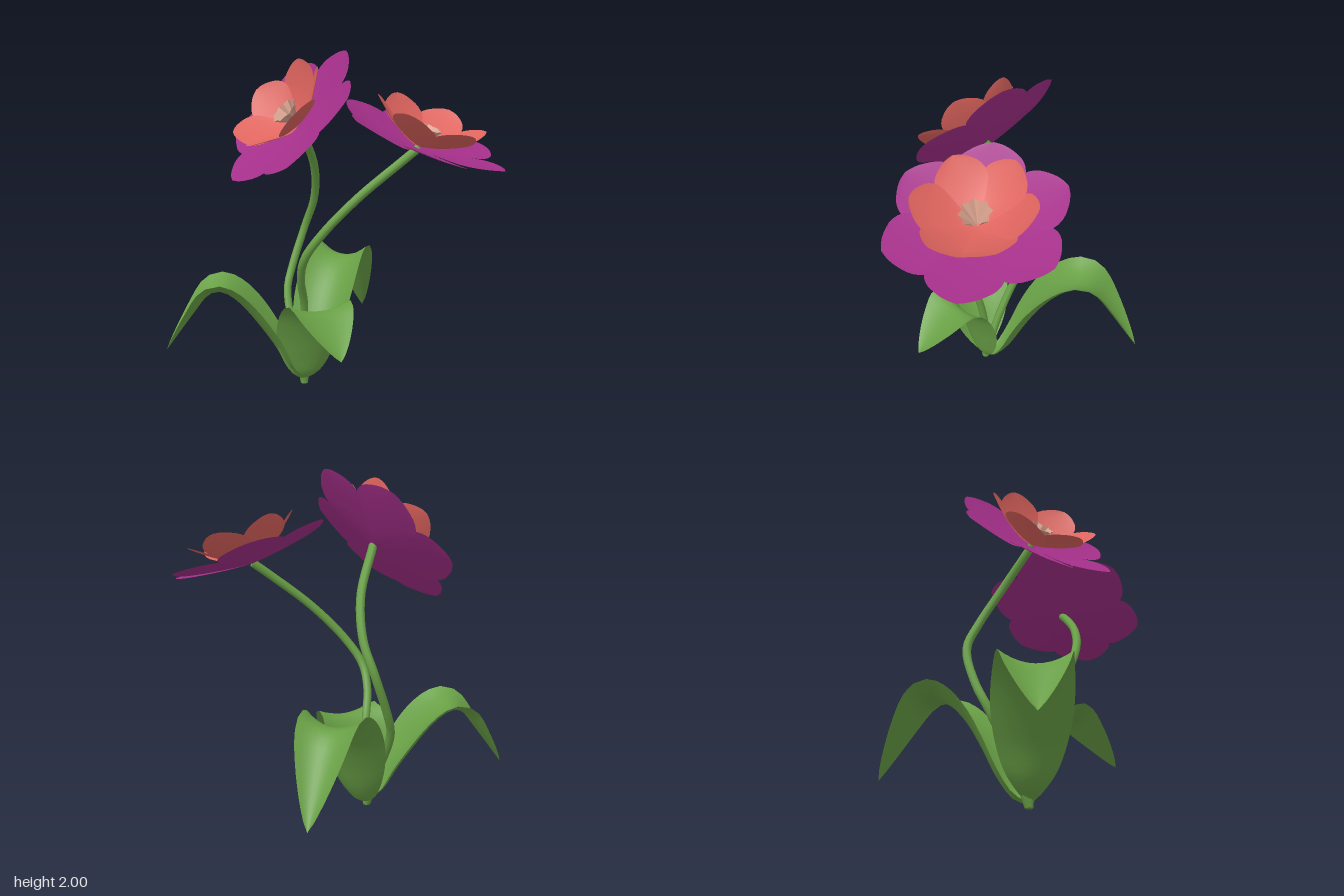
import * as THREE from 'three';

const { Vector2: V2, Vector3: V3 } = THREE;
const paint = (name, color) => {
  const m = new THREE.MeshStandardMaterial({ color, side: THREE.DoubleSide });
  m.name = name;
  return m;
};

// Sheet whose points follow rule(t along 0..1, s across -1..1)
function sheet(along, across, rule) {
  const g = new THREE.PlaneGeometry(1, 1, across, along);
  const p = g.attributes.position;
  for (let i = 0; i < p.count; i++) {
    const v = rule(p.getY(i) + 0.5, p.getX(i) * 2);
    p.setXYZ(i, v.x, v.y, v.z);
  }
  g.computeVertexNormals();
  return g;
}

// Petal half outline: distance from the centre, half width
const outline = new THREE.SplineCurve([
  [0, 0.03], [0.25, 0.17], [0.48, 0.32], [0.65, 0.395], [0.8, 0.345], [0.91, 0.22], [0.97, 0.11], [1, 0],
].map(([r, w]) => new V2(r, w)));

// Petal pointing along +x, curving up towards its tip, one edge over the next petal
function petalGeometry({ length, width, rise, power, lift }) {
  return sheet(18, 10, (t, s) => {
    const o = outline.getPoint(t);
    const r = Math.max(o.x, 0);
    const w = Math.max(o.y, 0);
    return new V3(length * r, rise * Math.pow(r, power) + lift * w * (s * s + 0.6 * s), s * width * w);
  });
}

function ring(name, geometry, material, count, turn, height) {
  const g = new THREE.Group();
  g.name = name;
  for (let i = 0; i < count; i++) {
    const m = new THREE.Mesh(geometry, material);
    m.name = name + 'Petal';
    m.rotation.y = turn + (i * 2 * Math.PI) / count;
    m.position.y = height;
    g.add(m);
  }
  return g;
}

// Pleated cup, open at the top
function pistilGeometry() {
  const g = new THREE.CylinderGeometry(0.09, 0.012, 0.1, 16, 1, true);
  const p = g.attributes.position;
  for (let i = 0; i < p.count; i++) {
    if ((i % 17) % 2) p.setXYZ(i, p.getX(i) * 0.82, p.getY(i), p.getZ(i) * 0.82);
  }
  const flat = g.toNonIndexed();
  flat.computeVertexNormals();
  return flat;
}

export function createModel() {
  const model = new THREE.Group();
  model.name = 'floweringPlant';
  const green = paint('leafGreen', 0x69a046);
  const purple = paint('petalPurple', 0xa42f89);
  const coral = paint('petalCoral', 0xdf645e);
  const blush = paint('pistilBlush', 0xdba48f);

  // Flower heads, each set by its centre, facing direction and first petal
  const outer = petalGeometry({ length: 0.5, width: 0.5, rise: 0.085, power: 1.5, lift: 0.025 });
  const inner = petalGeometry({ length: 0.33, width: 0.36, rise: 0.2, power: 1.5, lift: 0.035 });
  const pistil = pistilGeometry();
  const heads = [
    { name: 'upperFlower', centre: [-0.207, 1.63, -0.15], face: [-0.757, 0.644, 0.1], first: [0.325, 0.37, 0.08] },
    { name: 'lowerFlower', centre: [0.42, 1.53, 0.32], face: [0.25, 1, 0.33], first: [0.46, -0.08, -0.11] },
  ];
  for (const h of heads) {
    const n = new V3(...h.face).normalize();
    const x = new V3(...h.first).projectOnPlane(n).normalize();
    const z = new V3().crossVectors(x, n);
    const head = new THREE.Group();
    head.name = h.name;
    head.quaternion.setFromRotationMatrix(new THREE.Matrix4().makeBasis(x, n, z));
    head.position.set(...h.centre).addScaledVector(n, -0.085);
    head.add(ring('outer', outer, purple, 6, 0, 0));
    head.add(ring('inner', inner, coral, 6, Math.PI / 6, 0.012));
    const cup = new THREE.Mesh(pistil, blush);
    cup.name = 'pistil';
    cup.position.y = 0.08;
    head.add(cup);
    model.add(head);
  }

  // Twisting stems
  const stems = {
    upperStem: [[-0.12, 0.01, -0.15], [-0.135, 0.28, -0.27], [-0.125, 0.53, -0.4], [-0.07, 0.67, -0.45],
      [0.03, 0.92, -0.475], [0.06, 1.1, -0.4], [0.01, 1.32, -0.285], [-0.145, 1.577, -0.155]],
    lowerStem: [[-0.12, 0.01, -0.15], [-0.125, 0.3, -0.14], [-0.145, 0.52, -0.09], [-0.195, 0.68, -0.02],
      [-0.205, 0.82, 0.06], [-0.12, 0.98, 0.14], [0.06, 1.18, 0.22], [0.29, 1.37, 0.28], [0.398, 1.452, 0.297]],
  };
  for (const [name, pts] of Object.entries(stems)) {
    const path = new THREE.CatmullRomCurve3(pts.map((p) => new V3(...p)));
    const m = new THREE.Mesh(new THREE.TubeGeometry(path, 36, 0.025, 8), green);
    m.name = name;
    model.add(m);
  }

  // Root nub
  const nub = new THREE.Mesh(new THREE.CylinderGeometry(0.03, 0.022, 0.05, 8), green);
  nub.name = 'rootNub';
  nub.position.set(-0.12, 0.025, -0.15);
  model.add(nub);

  // Arching channelled leaves: midrib as (distance outward, height)
  const leaves = [
    { name: 'frontLeaf', tip: [-0.12, 0.37], width: 0.215, lift: 0.22,
      rib: [[0, 0.025], [0.045, 0.07], [0.075, 0.18], [0.115, 0.33], [0.17, 0.46], [0.24, 0.51], [0.35, 0.43], [0.515, 0.285]] },
    { name: 'rightLeaf', tip: [-0.896, -0.435], width: 0.22, lift: 0.36,
      rib: [[0, 0.025], [0.1, 0.11], [0.2, 0.28], [0.36, 0.49], [0.48, 0.585], [0.57, 0.57], [0.66, 0.46], [0.83, 0.23]] },
    { name: 'leftLeaf', tip: [0.6, -0.785], width: 0.195, lift: 0.42,
      rib: [[0, 0.025], [0.09, 0.055], [0.18, 0.17], [0.27, 0.34], [0.36, 0.49], [0.47, 0.62], [0.58, 0.69], [0.67, 0.67], [0.77, 0.55], [0.967, 0.265]] },
  ];
  for (const l of leaves) {
    const root = new V3(-0.12, 0, -0.145);
    const out = new V3(l.tip[0], 0, l.tip[1]).sub(root).normalize();
    const side = new V3(out.z, 0, -out.x);
    const rib = new THREE.SplineCurve(l.rib.map((p) => new V2(...p)));
    const g = sheet(28, 10, (t, s) => {
      const p = rib.getPointAt(t);
      const d = rib.getTangentAt(t);
      const w = l.width * Math.pow(Math.max(Math.sin(Math.PI * Math.pow(t, 0.85)), 0), 0.8);
      const raise = l.lift * w * s * s;
      return root.clone()
        .addScaledVector(out, p.x - d.y * raise)
        .addScaledVector(side, w * s)
        .setY(p.y + d.x * raise);
    });
    const m = new THREE.Mesh(g, green);
    m.name = l.name;
    model.add(m);
  }
  return model;
}
